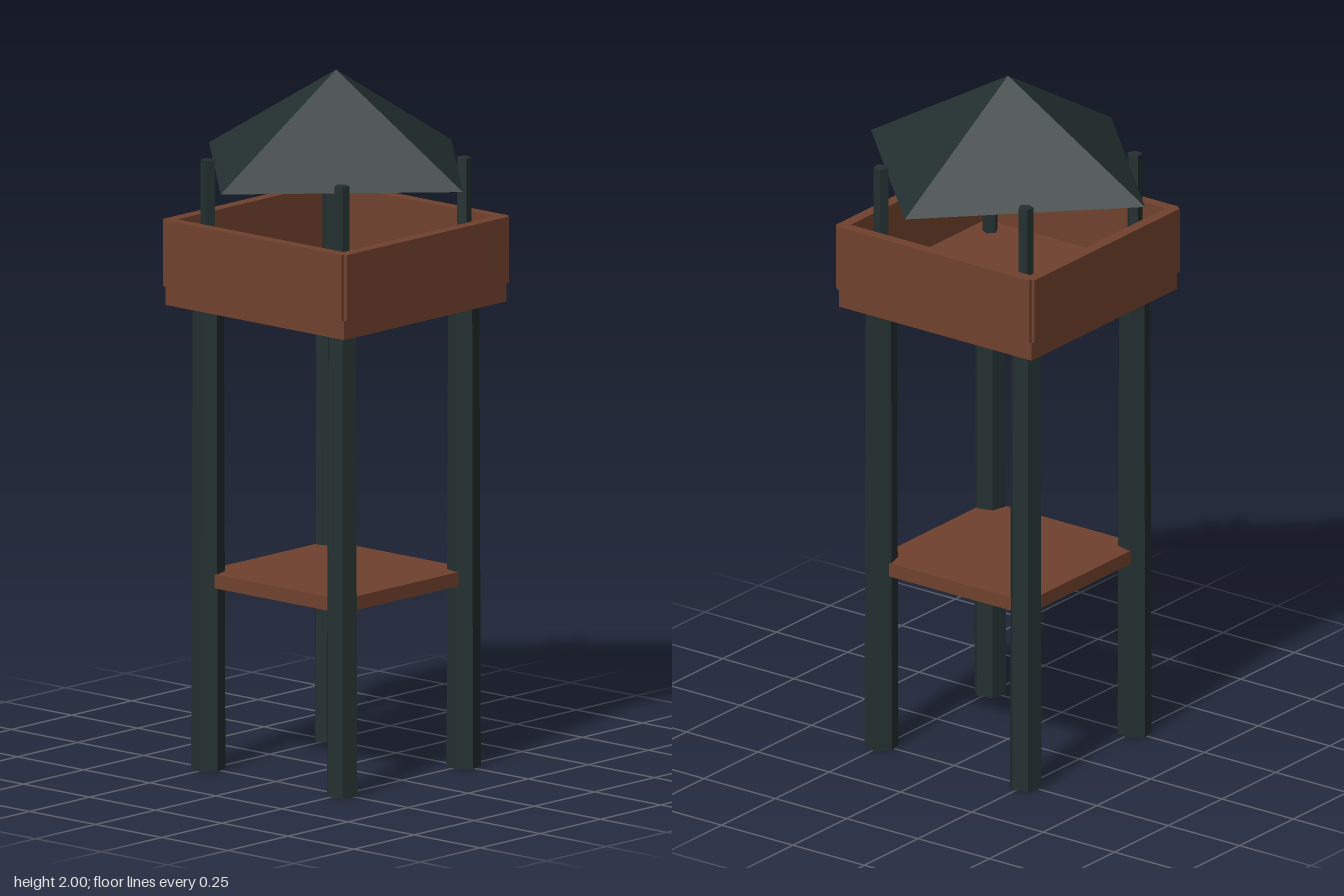
import * as THREE from 'three';

export function createModel() {
  const tower = new THREE.Group();
  tower.name = 'watchtower';
  const wood = new THREE.MeshStandardMaterial({ color: 0x70412d, flatShading: true });
  wood.name = 'brown wood';
  const dark = new THREE.MeshStandardMaterial({ color: 0x243030, flatShading: true });
  dark.name = 'dark slate';

  const add = (parent, name, geometry, material, x, y, z) => {
    const mesh = new THREE.Mesh(geometry, material);
    mesh.name = name;
    mesh.position.set(x, y, z);
    parent.add(mesh);
    return mesh;
  };

  // Pyramid roof, corners on the axes
  add(tower, 'roof', new THREE.ConeGeometry(0.48, 0.28, 4), dark, 0, 1.86, 0);

  // Lookout floor and lower shelf between the legs
  add(tower, 'platformFloor', new THREE.BoxGeometry(0.675, 0.06, 0.675), wood, 0, 1.36, 0);
  add(tower, 'lowerShelf', new THREE.BoxGeometry(0.54, 0.04, 0.54), wood, 0, 0.545, 0);

  // One wall, leg and roof post per side, turned around the centre
  const wallGeometry = new THREE.BoxGeometry(0.675, 0.19, 0.034);
  const legGeometry = new THREE.CylinderGeometry(0.044, 0.048, 1.335, 6);
  const postGeometry = new THREE.CylinderGeometry(0.022, 0.022, 0.38, 5);
  for (let i = 0; i < 4; i++) {
    const side = new THREE.Group();
    side.name = 'side' + (i + 1);
    side.rotation.y = i * Math.PI / 2;
    add(side, 'wall', wallGeometry, wood, 0, 1.48, 0.331);
    add(side, 'leg', legGeometry, dark, 0.253, 0.6675, 0.253).rotation.y = Math.PI / 4;
    add(side, 'roofPost', postGeometry, dark, 0.253, 1.555, 0.253).rotation.y = Math.PI / 4;
    tower.add(side);
  }
  return tower;
}
